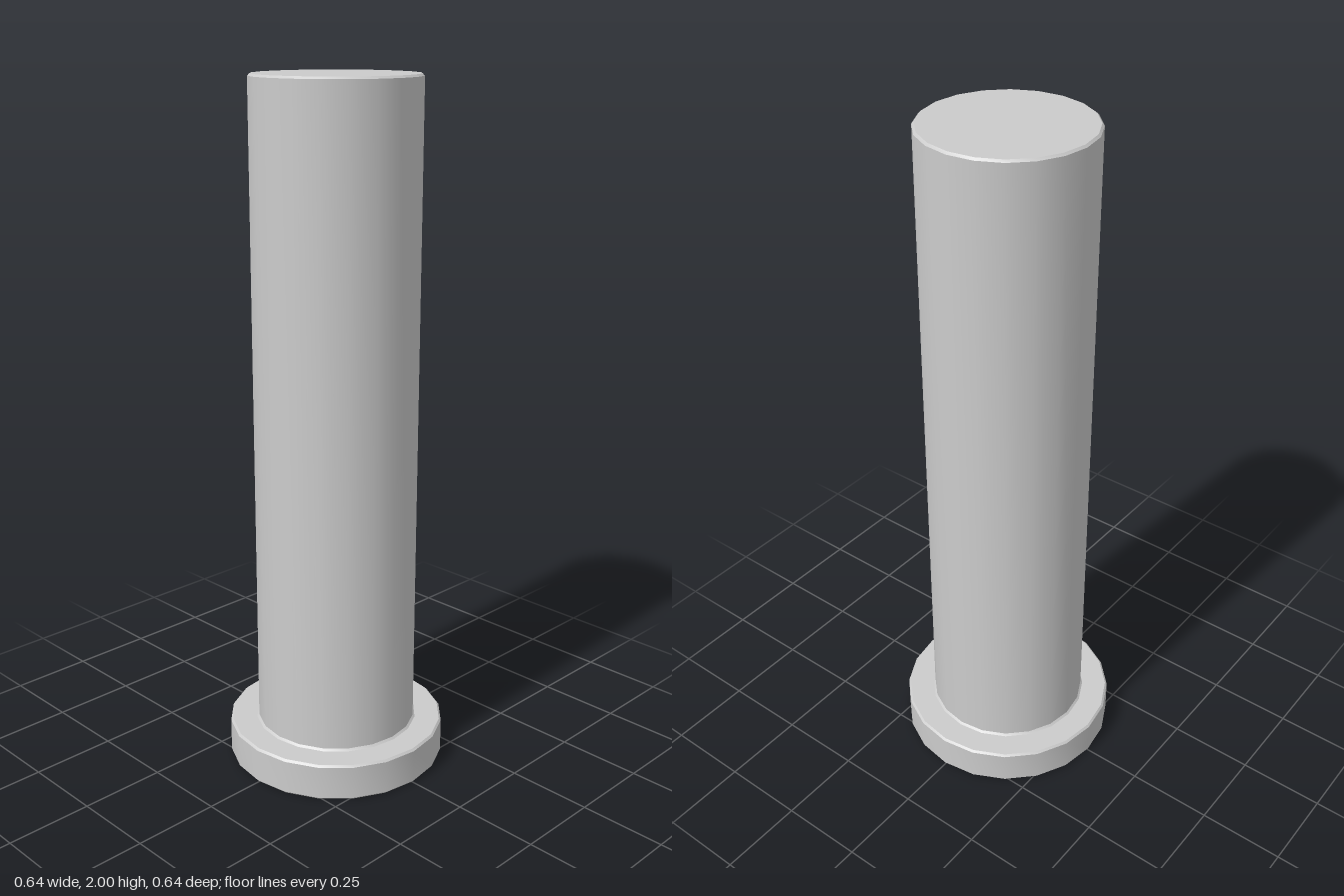
import * as THREE from 'three';
import { toCreasedNormals } from 'three/addons/utils/BufferGeometryUtils.js';

const SIDES = 20;

// Turned part from [radius, height] points, listed bottom to top
function turned(name, profile, material) {
  const points = profile.map(([r, y]) => new THREE.Vector2(r, y));
  const geometry = toCreasedNormals(new THREE.LatheGeometry(points, SIDES), 0.6);
  const mesh = new THREE.Mesh(geometry, material);
  mesh.name = name;
  return mesh;
}

export function createModel() {
  const group = new THREE.Group();
  group.name = 'flangedPin';
  const material = new THREE.MeshStandardMaterial({ color: 0xcccccc });
  const bevel = 0.006;
  const flangeRadius = 0.322, flangeTop = 0.11;
  const shaftRadius = 0.236, height = 2;

  // Flat flange with bevelled rims
  group.add(turned('flange', [
    [0, 0],
    [flangeRadius - bevel, 0],
    [flangeRadius, bevel],
    [flangeRadius, flangeTop - bevel],
    [flangeRadius - bevel, flangeTop],
    [0, flangeTop],
  ], material));

  // Shaft with a small fillet at its foot and a bevelled top
  group.add(turned('shaft', [
    [shaftRadius + bevel, flangeTop],
    [shaftRadius, flangeTop + bevel],
    [shaftRadius, height - bevel],
    [shaftRadius - bevel, height],
    [0, height],
  ], material));

  return group;
}
